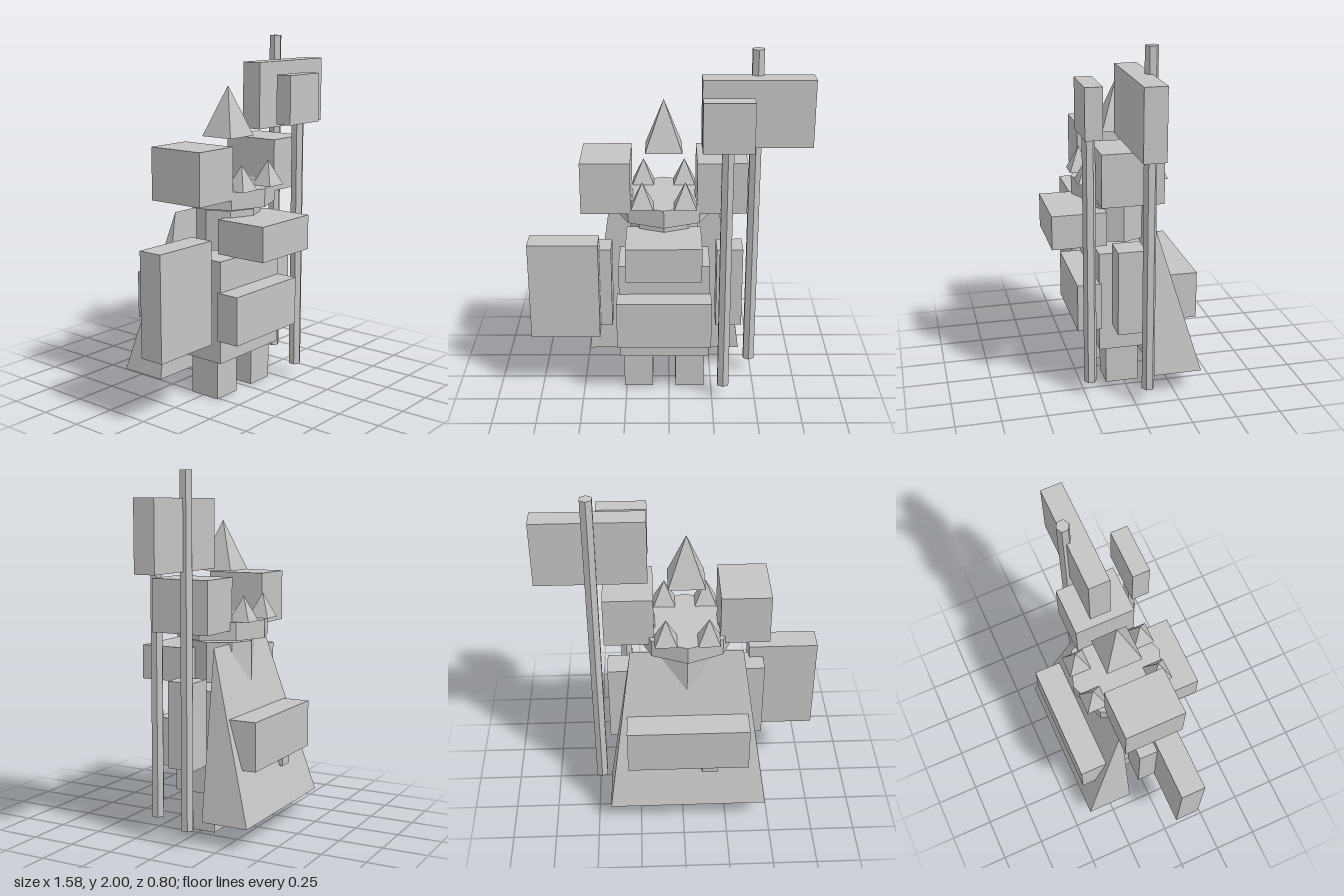
import * as THREE from 'three';

export function createModel() {
  const model = new THREE.Group();
  model.name = 'blockyWarrior';
  const stone = new THREE.MeshStandardMaterial({ color: 0xc4c4c4 });
  stone.name = 'plain light grey';
  stone.flatShading = true;

  const CX = -0.028, CZ = -0.01; // body axis

  function add(name, geometry, x = 0, y = 0, z = 0) {
    const mesh = new THREE.Mesh(geometry, stone);
    mesh.name = name;
    mesh.position.set(x, y, z);
    model.add(mesh);
    return mesh;
  }
  // Box given by its limits on each axis
  function box(name, x0, x1, y0, y1, z0, z1) {
    return add(name, new THREE.BoxGeometry(x1 - x0, y1 - y0, z1 - z0),
      (x0 + x1) / 2, (y0 + y1) / 2, (z0 + z1) / 2);
  }
  // Upright prism with a corner facing the front
  function prism(name, sides, rx, rz, y0, y1, x, z) {
    const g = new THREE.CylinderGeometry(1, 1, y1 - y0, sides).scale(rx, 1, rz);
    return add(name, g, x, (y0 + y1) / 2, z);
  }
  // Square pyramid with sides along x and z
  function pyramid(name, half, y0, y1, x, z) {
    const g = new THREE.ConeGeometry(half * Math.SQRT2, y1 - y0, 4).rotateY(Math.PI / 4);
    return add(name, g, x, (y0 + y1) / 2, z);
  }

  // Legs, arms and shoulder blocks, one on each side
  for (const [side, s] of [['left', 1], ['right', -1]]) {
    const pair = (name, inner, outer, y0, y1, z0, z1) => {
      const a = CX + s * inner, b = CX + s * outer;
      box(side + name, Math.min(a, b), Math.max(a, b), y0, y1, z0, z1);
    };
    pair('Leg', 0.067, 0.235, 0, 0.226, -0.082, 0.105);
    pair('Arm', 0.3, 0.45, 0.4, 0.882, -0.07, 0.085);
    pair('Shoulder', 0.182, 0.456, 1.143, 1.434, -0.165, 0.176);
  }

  // Body
  box('torso', -0.285, 0.232, 0.226, 0.809, -0.13, 0.148);
  box('bellyPlate', -0.295, 0.24, 0.358, 0.634, 0.135, 0.273);
  box('beard', -0.235, 0.178, 0.835, 1.03, 0.09, 0.4);
  prism('head', 8, 0.191, 0.182, 0.84, 1.068, CX, CZ);

  // Crown with six spikes and a floating peak
  prism('crownBand', 8, 0.277, 0.262, 1.088, 1.19, CX, CZ - 0.001);
  for (let i = 0; i < 6; i++) {
    const a = i * Math.PI / 3;
    pyramid('crownSpike', 0.061, 1.19, 1.33,
      CX + 0.235 * Math.cos(a), CZ + 0.222 * Math.sin(a));
  }
  pyramid('crownPeak', 0.102, 1.46, 1.74, CX, CZ);

  // Cape: a box pinched to a ridge at the top front
  const cape = new THREE.BoxGeometry(1, 1, 1);
  const p = cape.attributes.position;
  for (let i = 0; i < p.count; i++) {
    const top = p.getY(i) > 0;
    const half = top ? 0.317 : 0.453;
    const back = p.getZ(i) < 0 && !top;
    p.setXYZ(i, CX + 2 * half * p.getX(i), top ? 1.06 : 0.127, back ? -0.397 : -0.125);
  }
  cape.computeVertexNormals();
  add('cape', cape);

  // Hammer slung on the back
  box('backHammerHead', -0.375, 0.317, 0.413, 0.683, -0.392, -0.22);
  box('backHammerHandle', -0.2, -0.108, 0.345, 0.5, -0.352, -0.26);

  // Shield, war hammer and banner
  box('shield', -0.792, -0.396, 0.375, 0.953, 0.038, 0.18);
  prism('hammerShaft', 6, 0.037, 0.036, 0.083, 1.53, 0.314, 0.22);
  box('hammerHead', 0.178, 0.453, 1.518, 1.795, 0.172, 0.267);
  prism('bannerPole', 6, 0.037, 0.036, 0.093, 2, 0.484, -0.07);
  box('bannerCloth', 0.181, 0.792, 1.48, 1.858, -0.07, 0.05);

  return model;
}
